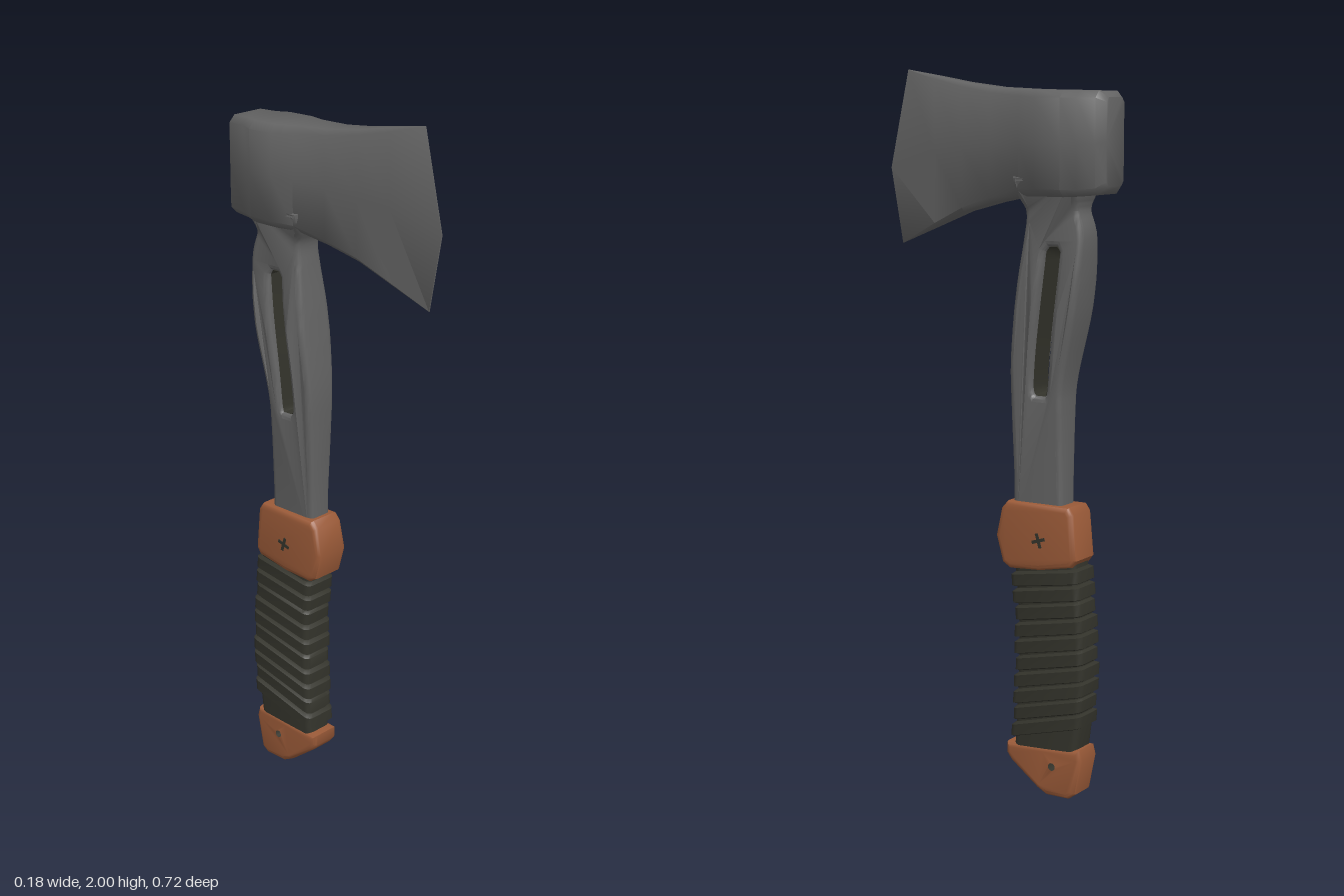
import * as THREE from 'three';
import { mergeVertices, toCreasedNormals } from 'three/addons/utils/BufferGeometryUtils.js';

const material = (name, color, side = THREE.FrontSide) => {
  const m = new THREE.MeshStandardMaterial({ color, side });
  m.name = name;
  return m;
};

// Piecewise linear lookup in a list of [key, value] pairs
function lookup(table, t) {
  for (let i = 1; i < table.length; i++) {
    if (t <= table[i][0] || i === table.length - 1) {
      const [a, va] = table[i - 1], [b, vb] = table[i];
      return va + (vb - va) * THREE.MathUtils.clamp((t - a) / (b - a), 0, 1);
    }
  }
}

// Skin rings of [x, y, z] points; rings turn counter-clockwise seen from the last one
function loft(rings, crease, caps = true) {
  const n = rings[0].length, index = [];
  for (let i = 0; i < rings.length - 1; i++) {
    for (let j = 0; j < n; j++) {
      const a = i * n + j, b = i * n + (j + 1) % n;
      index.push(a, b, b + n, a, b + n, a + n);
    }
  }
  if (caps) {
    const last = (rings.length - 1) * n;
    for (let j = 1; j < n - 1; j++) {
      index.push(0, j + 1, j, last, last + j, last + j + 1);
    }
  }
  const g = new THREE.BufferGeometry();
  g.setAttribute('position', new THREE.Float32BufferAttribute(rings.flat(2), 3));
  g.setIndex(index);
  return toCreasedNormals(g, crease);
}

// Side profile of [z, y] points, given thickness along x with rounded rims
function slab(profile, halfWidth, bevel, hole) {
  const shape = new THREE.Shape(profile.map(p => new THREE.Vector2(...p)));
  if (hole) shape.holes.push(hole);
  const depth = 2 * (halfWidth - bevel);
  return new THREE.ExtrudeGeometry(shape, {
    depth, bevelThickness: bevel, bevelSize: bevel, bevelOffset: -bevel, bevelSegments: 3, curveSegments: 16,
  }).translate(0, 0, -depth / 2).rotateY(-Math.PI / 2);
}

const smooth = (points, count) =>
  new THREE.SplineCurve(points.map(p => new THREE.Vector2(...p))).getPoints(count).map(p => [p.x, p.y]);

// Rounded rectangle ring around y, tilted towards the back by slope
function gripRing(y, front, back, hw, r, slope) {
  const cz = (front + back) / 2, hd = (front - back) / 2, ring = [];
  for (let k = 0; k < 4; k++) {
    for (let j = 0; j < 4; j++) {
      const a = (k + j / 3) * Math.PI / 2;
      const dz = (k === 0 || k === 3 ? 1 : -1) * (hd - r) + r * Math.cos(a);
      const x = (k < 2 ? 1 : -1) * (hw - r) + r * Math.sin(a);
      ring.push([x, y - slope * dz, cz + dz]);
    }
  }
  return ring;
}

export function createModel() {
  const steel = material('steel', 0x636363);
  const brown = material('brownFittings', 0x9a5a38);
  const cord = material('darkCord', 0x33332b, THREE.DoubleSide);
  const model = new THREE.Group();
  model.name = 'hatchet';
  const add = (name, geometry, mat, parent = model) => {
    const mesh = new THREE.Mesh(geometry, mat);
    mesh.name = name;
    parent.add(mesh);
    return mesh;
  };

  // Axe head: z, half width, top, bottom, chamfer; the last station is the curved cutting edge
  const stations = [
    [-0.357, 0.047, 1.925, 1.695, 0.012], [-0.335, 0.067, 1.942, 1.673, 0.018],
    [-0.28, 0.071, 1.943, 1.668, 0.018], [-0.24, 0.088, 1.944, 1.666, 0.02],
    [-0.16, 0.088, 1.945, 1.666, 0.02], [-0.10, 0.068, 1.947, 1.664, 0.018],
    [0, 0.052, 1.952, 1.643, 0.015], [0.1, 0.037, 1.965, 1.615, 0.012],
    [0.2, 0.023, 1.983, 1.572, 0.009], [0.30, 0.0015, 2.0, 1.52, 0.001],
  ];
  const headRings = stations.map(([z, w, t, b, c], i) => {
    const edge = i === stations.length - 1;
    const zm = edge ? 0.36 : z, zb = edge ? 0.322 : z, ym = edge ? 1.73 : (t + b) / 2;
    return [
      [w, ym, zm], [w, t - c, z], [w - c, t, z], [c - w, t, z], [-w, t - c, z],
      [-w, ym, zm], [-w, b + c, zb], [c - w, b, zb], [w - c, b, zb], [w, b + c, zb],
    ];
  });
  add('axeHead', loft(headRings, 0.85), steel);

  // Shaft with a long slot, swelling in the middle and flaring under the head
  const frontEdge = smooth([[-0.066, 0.76], [-0.066, 0.9], [-0.062, 1.08], [-0.062, 1.22], [-0.081, 1.4],
    [-0.101, 1.55], [-0.106, 1.62], [-0.085, 1.67], [-0.08, 1.72]], 40);
  const backEdge = smooth([[-0.28, 1.72], [-0.275, 1.67], [-0.268, 1.63], [-0.285, 1.55], [-0.268, 1.37],
    [-0.228, 1.18], [-0.221, 1.08], [-0.221, 0.9], [-0.221, 0.76]], 40);
  const slot = [
    ...smooth([[-0.14, 1.126], [-0.131, 1.15], [-0.137, 1.25], [-0.152, 1.38], [-0.17, 1.52]], 16),
    ...smooth([[-0.18, 1.533], [-0.208, 1.533]], 2),
    ...smooth([[-0.216, 1.52], [-0.207, 1.4], [-0.188, 1.25], [-0.176, 1.14], [-0.168, 1.126]], 16),
  ];
  const shaft = slab([...frontEdge, ...backEdge], 0.05, 0.015,
    new THREE.Path(slot.map(p => new THREE.Vector2(...p))));
  const widths = [[0.76, 0.036], [0.9, 0.038], [1.2, 0.052], [1.36, 0.06], [1.45, 0.058],
    [1.58, 0.045], [1.63, 0.042], [1.66, 0.055], [1.7, 0.075]];
  const pos = shaft.attributes.position;
  for (let i = 0; i < pos.count; i++) {
    pos.setX(i, pos.getX(i) * lookup(widths, pos.getY(i)) / 0.05);
  }
  shaft.deleteAttribute('normal');
  shaft.deleteAttribute('uv');
  add('shaft', toCreasedNormals(mergeVertices(shaft), 0.6), steel);

  // Dark lining inside the slot
  const lining = [-0.038, 0.038].map(x =>
    slot.map(([z, y]) => [x, 1.33 + (y - 1.33) * 0.993, z - 0.0015 * Math.sign(z + 0.215 - (y - 1.33) * -0.11 - 0.04)]));
  add('slotLining', loft(lining, 0.6, false), cord);

  // Collar between shaft and grip
  add('collar', toCreasedNormals(slab([
    [-0.055, 0.83], [-0.037, 0.81], [-0.019, 0.73], [-0.04, 0.655], [-0.065, 0.64], [-0.16, 0.645],
    [-0.26, 0.664], [-0.276, 0.685], [-0.264, 0.81], [-0.25, 0.83],
  ], 0.056, 0.015), 0.7), brown);

  // Small cross-slotted screw on each side of the collar
  for (const side of [1, -1]) {
    const screw = new THREE.Group();
    screw.name = side > 0 ? 'screwLeft' : 'screwRight';
    screw.position.set(side * 0.056, 0.73, -0.16);
    for (const turn of [0.3, 0.3 + Math.PI / 2]) {
      add('screwSlot', new THREE.BoxGeometry(0.004, 0.009, 0.042).rotateX(turn), cord, screw);
    }
    model.add(screw);
  }

  // Grip: narrow core and slanted wrapped bands
  const front = [[0.1, -0.06], [0.2, -0.066], [0.35, -0.074], [0.5, -0.076], [0.66, -0.063]];
  const back = [[0.1, -0.28], [0.2, -0.293], [0.35, -0.3], [0.5, -0.292], [0.66, -0.276]];
  const ringAt = (y, inset, slope) =>
    gripRing(y, lookup(front, y) - inset, lookup(back, y) + inset, 0.055 - inset, 0.018, slope);
  add('gripCore', loft([0.1, 0.2, 0.35, 0.5, 0.66].map(y => ringAt(y, 0.01, 0.15)), 0.7), cord);
  const grip = new THREE.Group();
  grip.name = 'gripWrap';
  model.add(grip);
  const bands = 10, low = 0.182, high = 0.648, pitch = (high - low) / bands;
  for (let i = 0; i < bands; i++) {
    const y = low + i * pitch, slope = 0.26 - 0.012 * i, extra = i % 3 === 1 ? 0.003 : 0;
    add('wrapBand', loft([
      ringAt(y + 0.002, 0.01, slope), ringAt(y + 0.006, extra, slope),
      ringAt(y + pitch - 0.009, extra, slope), ringAt(y + pitch - 0.002, 0.01, slope),
    ], 0.7), cord, grip);
  }

  // Pommel with a lanyard hole
  const hole = new THREE.Path().absarc(-0.2, 0.09, 0.025, 0, Math.PI * 2, true);
  add('pommel', toCreasedNormals(slab([
    [-0.05, 0.137], [-0.05, 0.105], [-0.065, 0.085], [-0.15, 0.02], [-0.18, 0.004], [-0.25, 0.004],
    [-0.272, 0.02], [-0.292, 0.12], [-0.284, 0.15], [-0.17, 0.143],
  ], 0.048, 0.014, hole), 0.7), brown);
  add('lanyardEyelet', new THREE.CylinderGeometry(0.0245, 0.0245, 0.085, 24, 1, true)
    .rotateZ(Math.PI / 2).translate(0, 0.09, -0.2), cord);

  return model;
}
